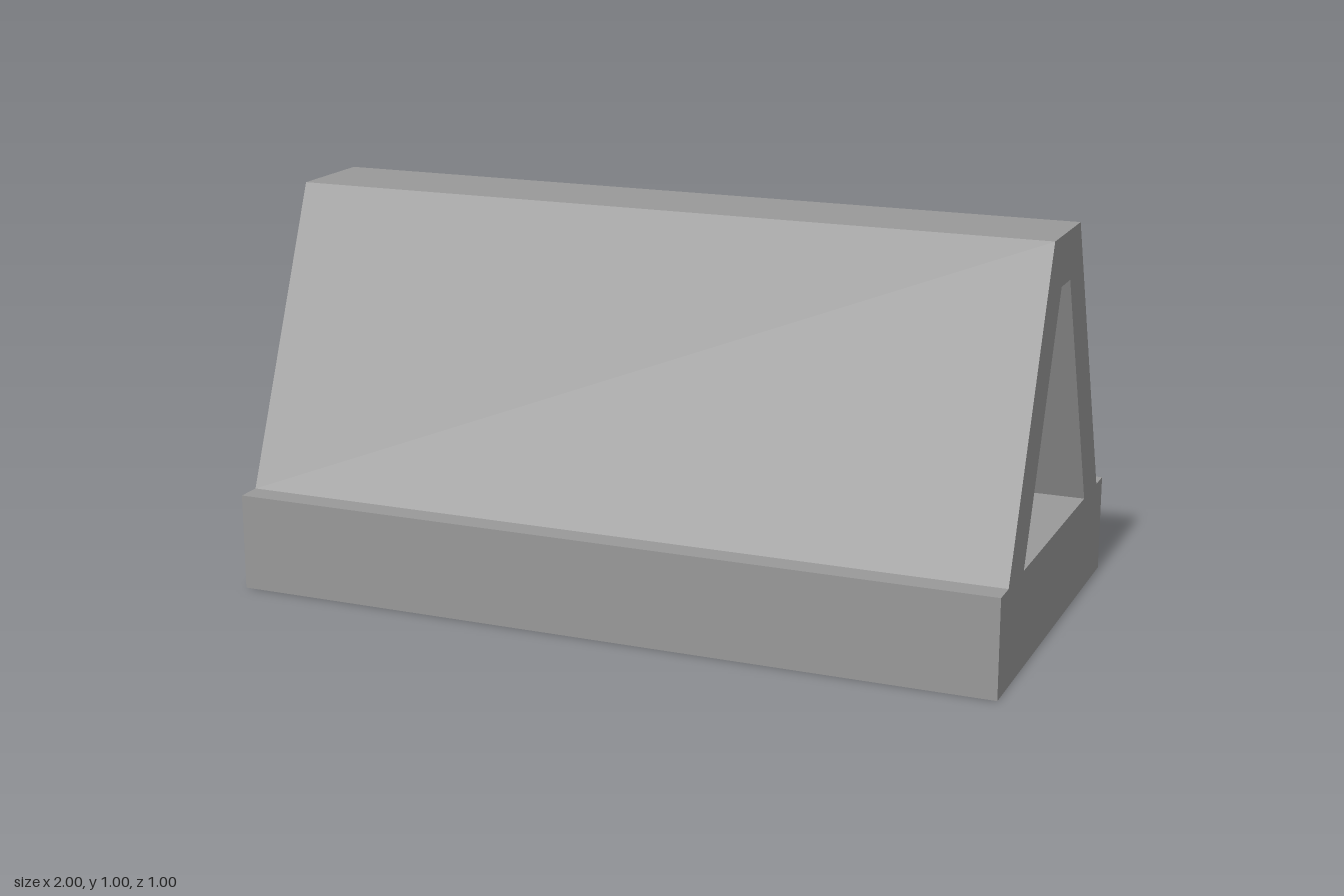
import * as THREE from 'three';

const LENGTH = 2;

// Mirrors a half outline (z, y), listed from bottom to top, into a closed loop
function mirrored(half) {
  const points = half.map(([z, y]) => new THREE.Vector2(z, y));
  const other = half.map(([z, y]) => new THREE.Vector2(-z, y)).reverse();
  return points.concat(other);
}

export function createModel() {
  const model = new THREE.Group();
  model.name = 'taperedRail';
  const grey = new THREE.MeshStandardMaterial({ color: 0x999999 });
  grey.name = 'grey';

  // Wide base with a narrower A-shaped ridge rising from it
  const profile = new THREE.Shape(
    mirrored([[0.5, 0], [0.5, 0.25], [0.435, 0.25], [0.125, 1]])
  );
  // Tapered tunnel running the full length
  profile.holes.push(new THREE.Path(mirrored([[0.3, 0.25], [0.042, 0.875]])));

  const geometry = new THREE.ExtrudeGeometry(profile, { depth: LENGTH, bevelEnabled: false });
  geometry.translate(0, 0, -LENGTH / 2);
  geometry.rotateY(Math.PI / 2);

  const body = new THREE.Mesh(geometry, grey);
  body.name = 'hollowRidgeAndBase';
  model.add(body);
  return model;
}
